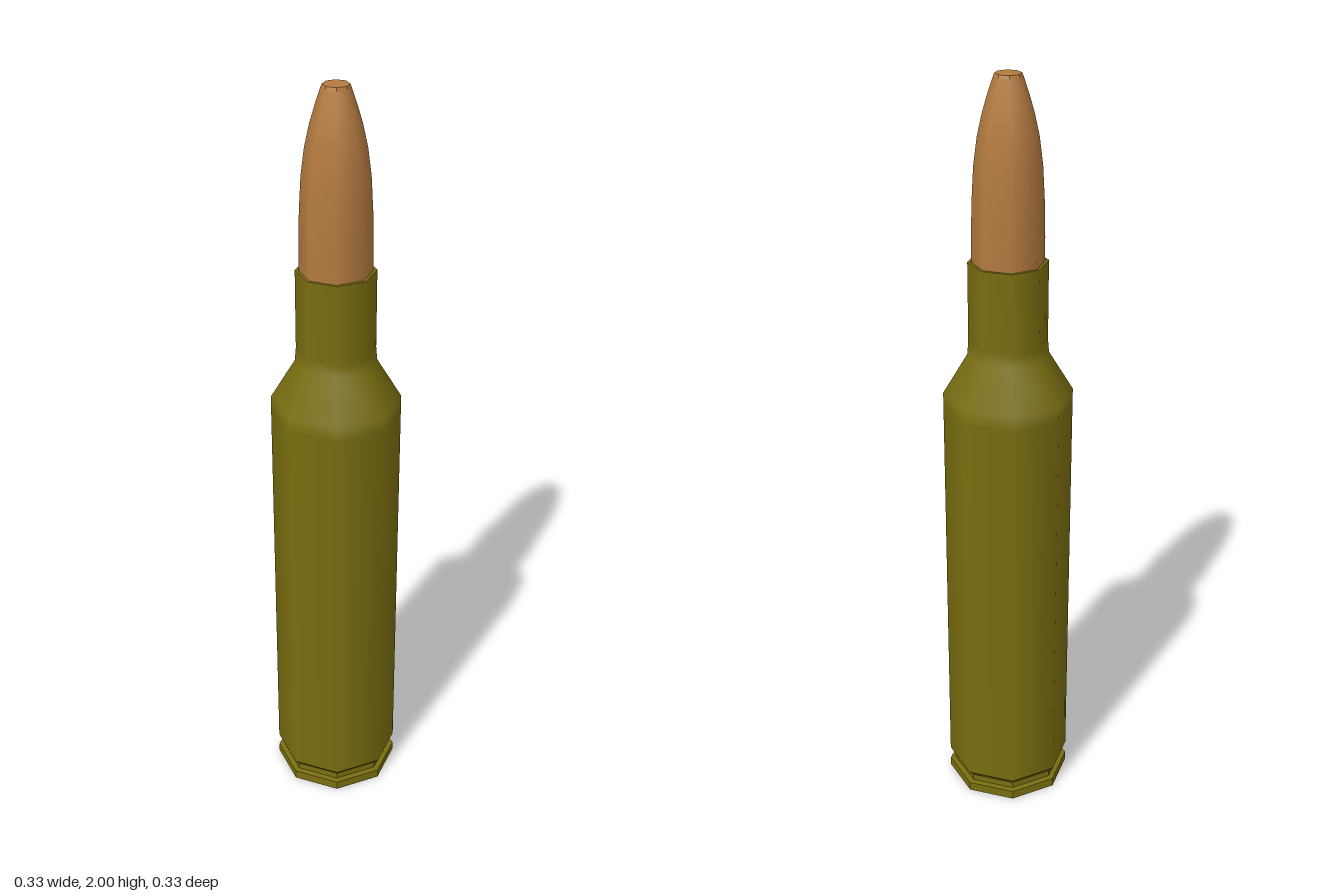
import * as THREE from 'three';

const SIDES = 8;

export function createModel() {
  const group = new THREE.Group();
  const brass = new THREE.MeshStandardMaterial({ color: 0x7a6e10 });
  brass.name = 'olive brass';
  const copper = new THREE.MeshStandardMaterial({ color: 0xb47b40 });
  copper.name = 'copper';

  // Turned octagonal section; profile is [radius, height] from bottom to top
  function turned(name, profile, material, faceted = false) {
    let geometry = new THREE.LatheGeometry(profile.map(([r, y]) => new THREE.Vector2(r, y)), SIDES);
    if (faceted) {
      geometry = geometry.toNonIndexed();
      geometry.computeVertexNormals();
    }
    const mesh = new THREE.Mesh(geometry, material);
    mesh.name = name;
    group.add(mesh);
  }

  // Base with a recessed round primer and its surrounding groove
  turned('primer', [[0, 0.012], [0.03, 0.012], [0.04, 0.004], [0.062, 0.004], [0.068, 0.012]], brass, true);
  turned('baseFace', [[0.068, 0.012], [0.075, 0], [0.167, 0]], brass, true);

  // Rim and extractor groove
  turned('rim', [[0.167, 0], [0.167, 0.025], [0.152, 0.027]], brass, true);
  turned('extractorGroove', [[0.152, 0.027], [0.152, 0.045], [0.167, 0.062]], brass, true);

  // Case body, shoulder and neck in one smooth skin
  turned('caseBody', [
    [0.167, 0.062], [0.167, 1.15], [0.167, 1.19],
    [0.104, 1.295], [0.101, 1.33], [0.101, 1.54],
  ], brass);

  // Thin mouth of the neck and the wall inside it
  turned('caseMouth', [[0.101, 1.54], [0.093, 1.54], [0.093, 1.5]], brass, true);

  // Bullet with a curved nose and a flat tip
  turned('bullet', [
    [0.091, 1.46], [0.091, 1.6], [0.089, 1.69], [0.084, 1.78],
    [0.075, 1.85], [0.063, 1.905], [0.05, 1.95], [0.036, 1.992],
  ], copper);
  turned('bulletTip', [[0.036, 1.992], [0.033, 2], [0, 2]], copper, true);

  return group;
}
